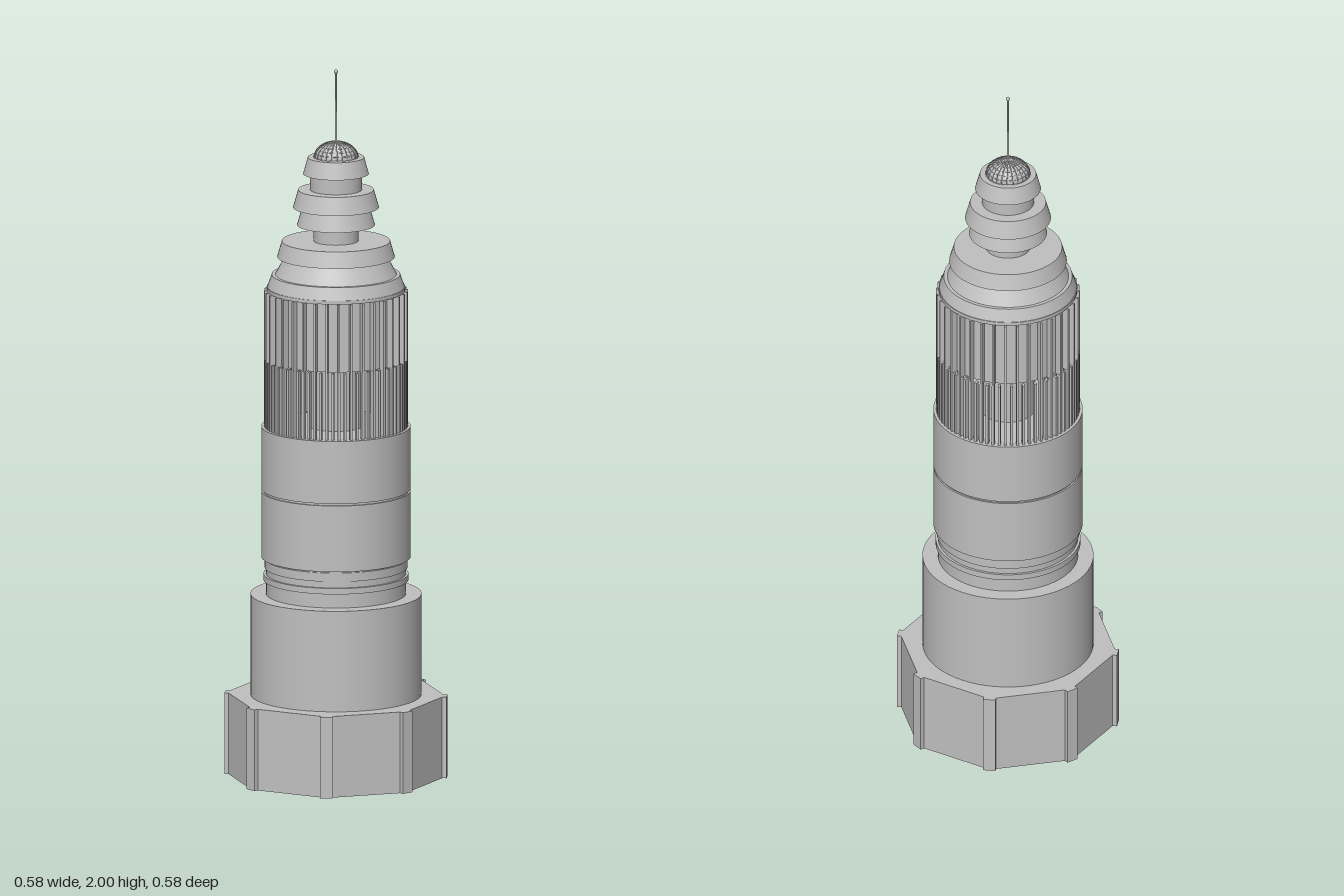
import * as THREE from 'three';

export function createModel() {
  const tower = new THREE.Group();
  tower.name = 'tower';
  const stone = new THREE.MeshStandardMaterial({ color: 0xc0c0c0 });
  stone.name = 'pale grey';

  const add = (name, geometry, parent = tower) => {
    const mesh = new THREE.Mesh(geometry, stone);
    mesh.name = name;
    parent.add(mesh);
    return mesh;
  };
  // Round section between two heights, with a bottom and a top radius
  const drum = (name, y0, y1, r0, r1 = r0, sides = 64) => {
    const mesh = add(name, new THREE.CylinderGeometry(r1, r0, y1 - y0, sides));
    mesh.position.y = (y0 + y1) / 2;
    return mesh;
  };
  // Ring of upright bars standing around the axis
  const barRing = (name, count, y0, y1, r, width, depth, offset = 0) => {
    const ring = new THREE.Group();
    ring.name = name;
    const geometry = new THREE.BoxGeometry(width, y1 - y0, depth);
    for (let i = 0; i < count; i++) {
      const a = offset + (i / count) * Math.PI * 2;
      const bar = add(name + 'Bar', geometry, ring);
      bar.position.set(Math.sin(a) * r, (y0 + y1) / 2, Math.cos(a) * r);
      bar.rotation.y = a;
    }
    tower.add(ring);
  };

  // Octagonal base with a flat face to the front
  const octagon = new THREE.CylinderGeometry(0.304, 0.304, 0.23, 8).toNonIndexed();
  octagon.rotateY(Math.PI / 8);
  octagon.computeVertexNormals();
  add('octagonalBase', octagon).position.y = 0.115;
  barRing('cornerStrip', 8, 0, 0.23, 0.302, 0.034, 0.014, Math.PI / 8);

  // Lower shaft and moulded neck
  drum('lowerDrum', 0.23, 0.515, 0.237);
  drum('neck', 0.515, 0.625, 0.194);
  drum('neckRing', 0.555, 0.572, 0.201);
  drum('neckCollar', 0.59, 0.615, 0.198);

  // Main shaft, split by a shallow groove
  drum('shaftLower', 0.62, 0.807, 0.207);
  drum('shaftGroove', 0.807, 0.813, 0.202);
  drum('shaftUpper', 0.813, 0.99, 0.207);

  // Open gallery around a slim core, then a ribbed storey
  drum('galleryCore', 0.99, 1.18, 0.075);
  barRing('gallery', 72, 0.99, 1.18, 0.192, 0.007, 0.014);
  drum('ribbedStorey', 1.18, 1.375, 0.18);
  barRing('rib', 36, 1.18, 1.375, 0.19, 0.006, 0.018, Math.PI / 36);

  // Stepped crown: bottom height, top height, bottom radius, top radius
  const tiers = [
    [1.375, 1.385, 0.192, 0.192],
    [1.385, 1.42, 0.19, 0.178],
    [1.42, 1.47, 0.168, 0.142],
    [1.47, 1.515, 0.163, 0.15],
    [1.515, 1.56, 0.062, 0.062],
    [1.56, 1.61, 0.108, 0.094],
    [1.61, 1.66, 0.119, 0.105],
    [1.66, 1.705, 0.072, 0.072],
    [1.705, 1.752, 0.091, 0.078],
  ];
  for (const [y0, y1, r0, r1] of tiers) drum('crownTier', y0, y1, r0, r1);

  // Dome with a lattice of ribs and hoops
  const dome = new THREE.Group();
  dome.name = 'dome';
  dome.position.y = 1.752;
  dome.scale.y = 0.72;
  tower.add(dome);
  const R = 0.061;
  add('domeShell', new THREE.SphereGeometry(R, 24, 8, 0, Math.PI * 2, 0, Math.PI / 2), dome);
  const ribArc = new THREE.TorusGeometry(R, 0.0014, 4, 12, Math.PI / 2);
  for (let i = 0; i < 24; i++) add('domeRib', ribArc, dome).rotation.y = (i / 24) * Math.PI * 2;
  for (let i = 0; i < 6; i++) {
    const a = (i / 6) * Math.PI / 2;
    const hoop = add('domeHoop', new THREE.TorusGeometry(R * Math.cos(a), 0.0014, 4, 32), dome);
    hoop.rotation.x = Math.PI / 2;
    hoop.position.y = R * Math.sin(a);
  }

  // Mast and its tip
  drum('mast', 1.79, 1.995, 0.0035, 0.0025, 8);
  add('mastTip', new THREE.SphereGeometry(0.006, 10, 8)).position.y = 1.994;

  return tower;
}
